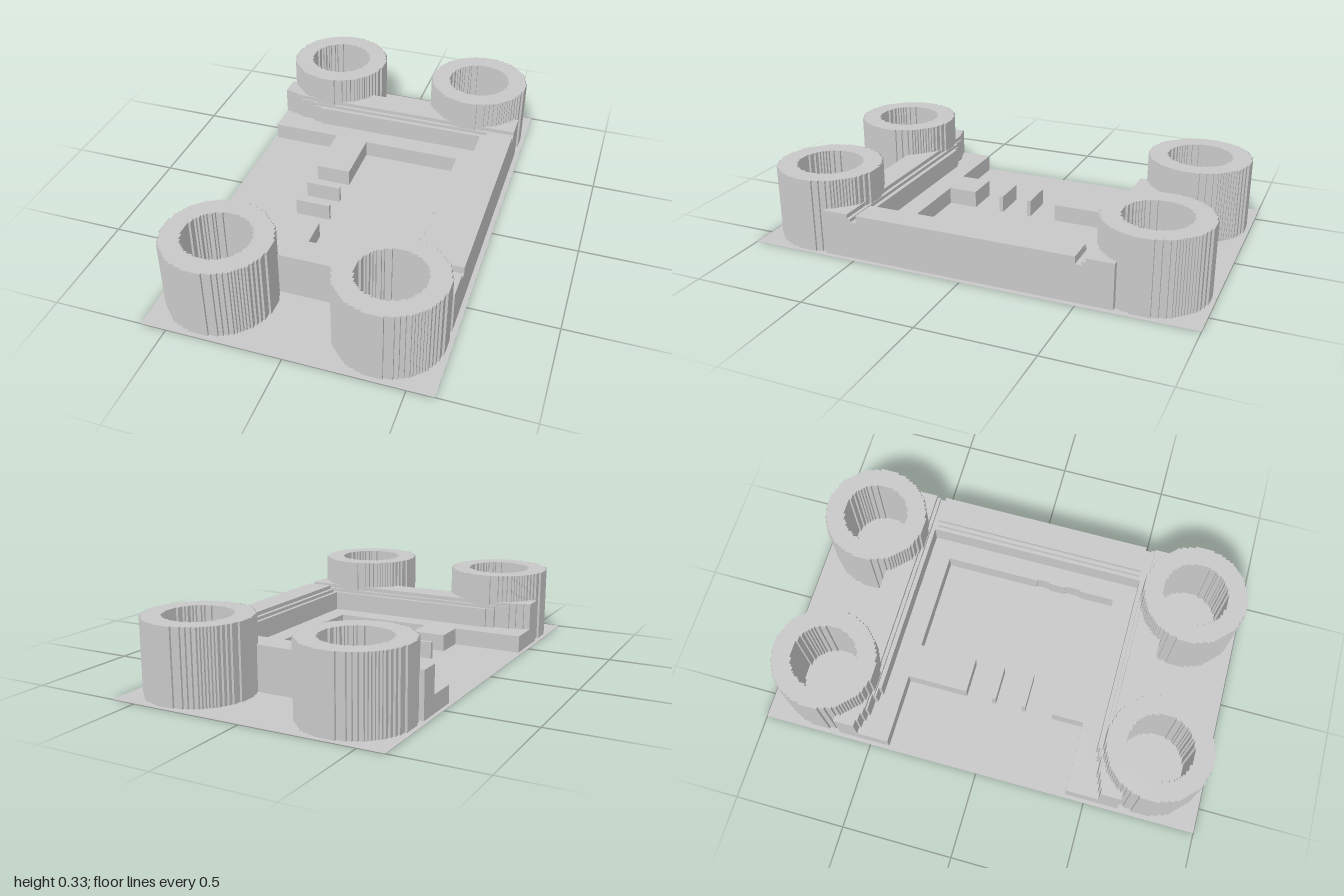
import * as THREE from 'three';

const grey = new THREE.MeshStandardMaterial({ color: 0xc8c8c8 });
grey.name = 'plain grey';

const POST_X = 0.362, POST_Z = 0.75;

// Shape from [x, z] points in plan
const plan = (pts) => new THREE.Shape(pts.map(([x, z]) => new THREE.Vector2(x, -z)));

// Rectangle in plan
const rect = (x0, x1, z0, z1) => plan([[x0, z0], [x1, z0], [x1, z1], [x0, z1]]);

// Mirror points front to back, reversing their order
const mirror = (pts) => pts.map(([x, z]) => [x, -z]).reverse();

// Extrude a plan shape upward between two heights
function raise(name, shape, from, to) {
  const geometry = new THREE.ExtrudeGeometry(shape, { depth: to - from, bevelEnabled: false });
  geometry.rotateX(-Math.PI / 2);
  geometry.translate(0, from, 0);
  const mesh = new THREE.Mesh(geometry, grey);
  mesh.name = name;
  return mesh;
}

// Circle drawn as a fine staircase of axis-aligned steps
function steppedCircle(cx, cz, r) {
  const grid = 0.0096;
  const cells = [];
  for (let i = 0; i < 360; i++) {
    const a = ((i + 0.5) / 180) * Math.PI;
    const x = Math.round((r * Math.cos(a)) / grid), z = Math.round((r * Math.sin(a)) / grid);
    const last = cells[cells.length - 1];
    if (last && last[0] === x && last[1] === z) continue;
    if (last && last[0] !== x && last[1] !== z) cells.push([x, last[1]]);
    cells.push([x, z]);
  }
  return cells.map(([x, z]) => [cx + x * grid, cz + z * grid]);
}

// Outer edge of an end wall, left to right, notched where it runs into the posts
function outerEdge() {
  const pts = [[-0.595, 0.65]];
  for (const cx of [-POST_X, POST_X]) {
    for (let i = 0; i <= 12; i++) {
      const t = -1.017 + (i / 12) * 2.034;
      pts.push([cx + 0.19 * Math.sin(t), POST_Z - 0.19 * Math.cos(t)]);
    }
  }
  pts.push([0.59, 0.65]);
  return pts;
}

// Stepped flare of the wall's inner face at the open end
const flare = [
  [-0.595, 0.557], [-0.565, 0.557], [-0.565, 0.547], [-0.53, 0.547], [-0.53, 0.537],
  [-0.5, 0.537], [-0.5, 0.525], [-0.43, 0.525], [-0.43, 0.51], [-0.39, 0.51], [-0.39, 0.498],
];

export function createModel() {
  const model = new THREE.Group();
  model.name = 'mountingTray';

  // Thin base sheet
  const base = new THREE.Mesh(new THREE.BoxGeometry(1.224, 0.002, 2), grey);
  base.name = 'basePlate';
  base.position.y = 0.001;
  model.add(base);

  // Four hollow corner posts
  for (const x of [-POST_X, POST_X]) {
    for (const z of [-POST_Z, POST_Z]) {
      const ring = plan(steppedCircle(x, z, 0.23));
      ring.holes.push(plan(steppedCircle(x, z, 0.145).reverse()));
      model.add(raise('cornerPost', ring, 0.001, 0.33));
    }
  }

  // U-shaped wall up to the bottom of the slot
  const inner = [...flare, [0.433, 0.498]];
  const outer = outerEdge();
  model.add(raise('wall', plan([
    ...inner, ...mirror(inner), ...mirror(outer).reverse(), ...[...outer].reverse(),
  ]), 0.001, 0.17));

  // Two rising steps on the end walls and the side wall
  for (const [z, x, from, to] of [[0.517, 0.45, 0.17, 0.185], [0.533, 0.468, 0.185, 0.203]]) {
    const rail = [
      ...flare.map(([fx, fz]) => [fx, Math.max(fz, z)]), [0.59, z], ...[...outer].reverse(),
    ];
    model.add(
      raise('endRail', plan(rail), from, to),
      raise('endRail', plan(mirror(rail)), from, to),
      raise('sideRail', rect(x, 0.59, -0.49, 0.49), from, to),
    );
  }

  // Low inner ledge with two tabs and a slightly wavy long edge
  model.add(raise('innerLedge', plan([
    [-0.595, -0.415], [-0.275, -0.415], [-0.275, -0.14], [-0.115, -0.14],
    [-0.115, -0.405], [0.343, -0.405], [0.343, 0.03], [0.35, 0.03], [0.35, 0.09],
    [0.343, 0.09], [0.343, 0.17], [0.35, 0.17], [0.35, 0.24], [0.343, 0.24], [0.343, 0.4],
    [-0.115, 0.4], [-0.115, 0.265], [-0.275, 0.265], [-0.275, 0.41], [-0.595, 0.41],
    ...inner, ...mirror(inner),
  ]), 0.001, 0.08));

  // Two small upright ribs between the tabs
  for (const z of [-0.01, 0.13]) {
    model.add(raise('rib', rect(-0.275, -0.115, z - 0.009, z + 0.009), 0.001, 0.08));
  }

  return model;
}
